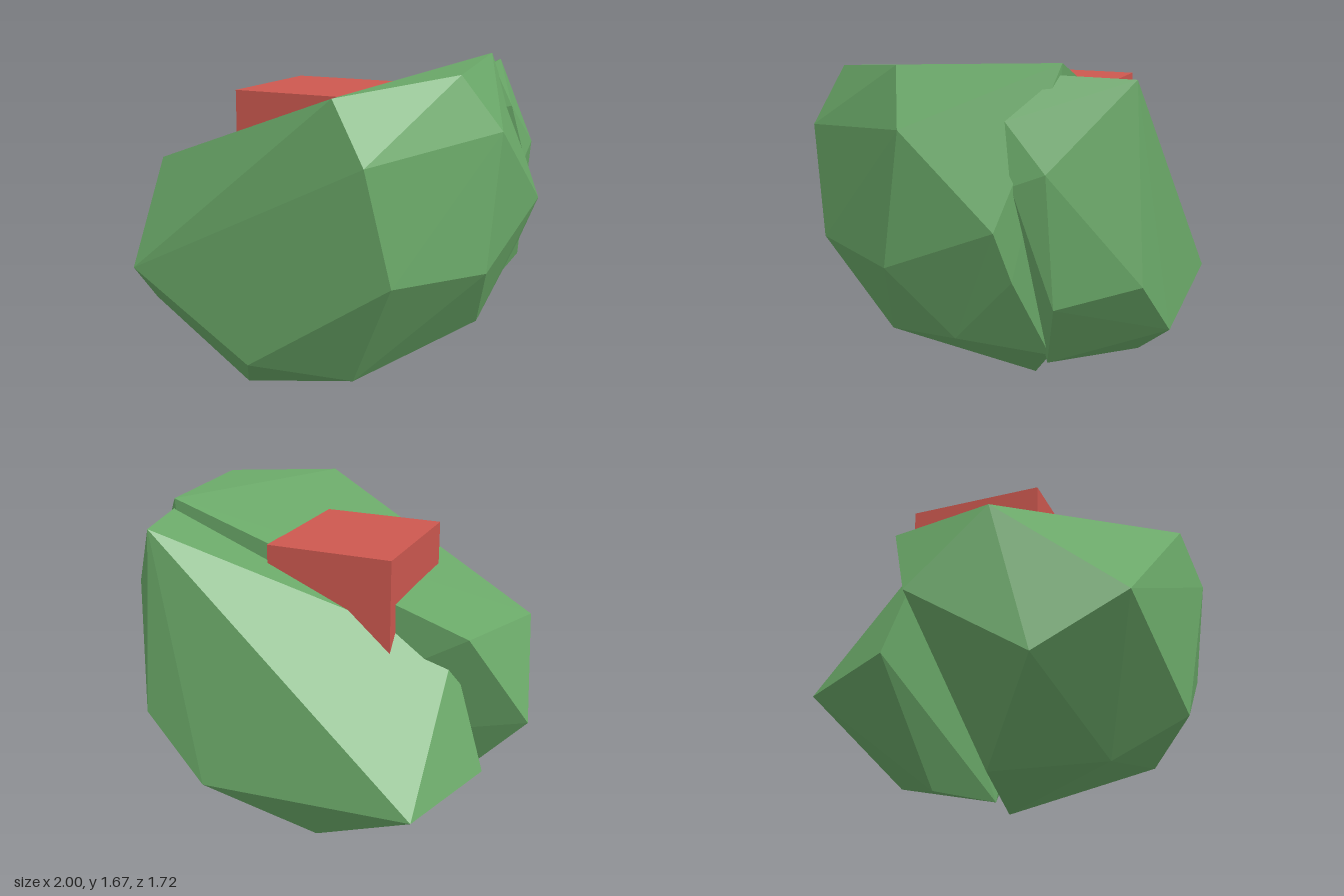
import * as THREE from 'three';
import { ConvexGeometry } from 'three/addons/geometries/ConvexGeometry.js';

const green = new THREE.MeshStandardMaterial({ color: 0x6aa868, flatShading: true });
const red = new THREE.MeshStandardMaterial({ color: 0xcc584f, flatShading: true });

// Faceted lump wrapped around a few corner points
function lump(name, corners) {
  const points = corners.map(([x, y, z]) => new THREE.Vector3(x, y, z));
  const mesh = new THREE.Mesh(new ConvexGeometry(points), green);
  mesh.name = name;
  return mesh;
}

export function createModel() {
  const group = new THREE.Group();
  group.name = 'splitRock';

  // Large front half, with its top sloping down to the right
  group.add(lump('frontRock', [
    // top rim
    [0.4, 1.575, 0.79], [0.78, 1.64, 0.29], [0.68, 1.67, -0.44], [-0.75, 1.15, -0.35], [-0.9, 1.11, 0.19],
    // front face
    [0.58, 1.31, 0.86], [0.67, 0.785, 0.77], [0, 0.345, 0.84], [-0.68, 0.69, 0.76],
    // sides
    [0.95, 1.39, 0.2], [1, 1, -0.26], [0.93, 0.76, 0.3], [0.8, 0.42, 0.02],
    [-1, 0.7, -0.16], [-0.85, 0.39, 0.36],
    // underside
    [0.4, 0.24, 0.57], [-0.2, 0.1, 0.51], [-0.43, 0.04, 0], [0.13, 0, -0.11],
    // broken inner face
    [0.62, 0.33, -0.37], [0.9, 0.76, -0.3],
  ]));

  // Smaller rear half, overlapping the front one inside the crack
  group.add(lump('rearRock', [
    // upper edge
    [0.63, 1.61, -0.75], [0.69, 1.62, -0.43], [0.85, 1.44, -0.25], [-0.65, 1.04, -0.26],
    // back face
    [0.67, 0.73, -0.81], [0.36, 0.43, -0.86], [-0.65, 0.43, -0.79],
    // sides
    [0.9, 1.24, -0.45], [0.91, 1.18, -0.3], [0.85, 0.64, -0.47], [-0.84, 0.5, -0.34],
    // underside
    [-0.1, 0.115, -0.59], [-0.25, 0.04, -0.35], [0.1, 0.06, -0.17], [0.6, 0.28, -0.35],
  ]));

  // Block set into the top
  const block = new THREE.Mesh(new THREE.BoxGeometry(0.61, 0.6, 0.675), red);
  block.name = 'block';
  block.position.set(-0.1, 1.2, -0.095);
  group.add(block);

  return group;
}
